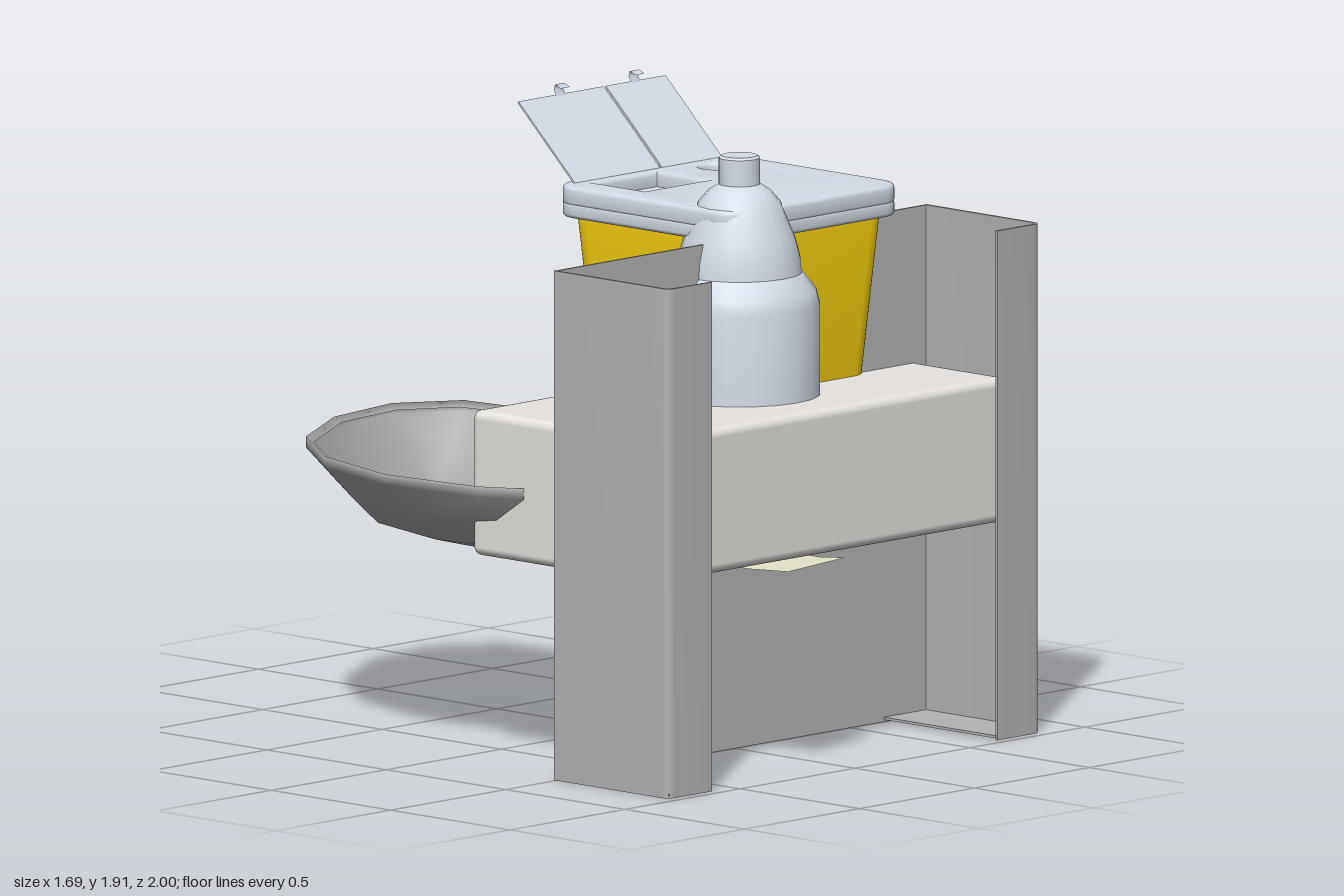
import * as THREE from 'three';
import { toCreasedNormals, mergeVertices } from 'three/addons/utils/BufferGeometryUtils.js';
import { RoundedBoxGeometry } from 'three/addons/geometries/RoundedBoxGeometry.js';

const mat = (color, side = THREE.FrontSide) => new THREE.MeshStandardMaterial({ color, side });
const D = THREE.DoubleSide;
const metal = mat(0xb4b4b4, D), offWhite = mat(0xe6e3df), yellow = mat(0xf2cc0c);
const paleBlue = mat(0xd3dbe6, D), cream = mat(0xe6e4cb, D), grey = mat(0xa8a8a8, D), blue = mat(0x3a9ad9);

function add(parent, name, geometry, material, x = 0, y = 0, z = 0) {
  const m = new THREE.Mesh(geometry, material);
  m.name = name;
  m.position.set(x, y, z);
  parent.add(m);
  return m;
}

// Rounded rectangle centred on the origin
function roundedRect(w, h, r) {
  const s = new THREE.Shape(), a = w / 2, b = h / 2;
  s.absarc(a - r, b - r, r, 0, Math.PI / 2);
  s.absarc(-a + r, b - r, r, Math.PI / 2, Math.PI);
  s.absarc(-a + r, -b + r, r, Math.PI, Math.PI * 1.5);
  s.absarc(a - r, -b + r, r, Math.PI * 1.5, Math.PI * 2);
  s.closePath();
  return s;
}

// Extrude a plan shape upwards (shape y becomes -z)
function extrudeUp(shape, height, bevel = 0, steps = 1) {
  const g = new THREE.ExtrudeGeometry(shape, {
    depth: height - 2 * bevel, steps, curveSegments: 6,
    bevelEnabled: bevel > 0, bevelSize: bevel, bevelThickness: bevel, bevelOffset: -bevel, bevelSegments: 3
  });
  return g.translate(0, 0, bevel).rotateX(-Math.PI / 2);
}

// Grid surface from equal rows of points
function surface(rows, closed) {
  const n = rows[0].length, idx = [];
  for (let i = 0; i < rows.length - 1; i++) {
    for (let j = 0; j < (closed ? n : n - 1); j++) {
      const a = i * n + j, b = i * n + (j + 1) % n;
      idx.push(a, b, a + n, b, b + n, a + n);
    }
  }
  const g = new THREE.BufferGeometry();
  g.setAttribute('position', new THREE.Float32BufferAttribute(rows.flat(2), 3));
  g.setIndex(idx);
  g.computeVertexNormals();
  return g;
}

// Sheet-metal stand: back wall with a C-shaped channel on each side
function makeStand() {
  const g = new THREE.Group(), H = 1.56, T = 0.008;
  g.name = 'stand';
  add(g, 'backWall', new THREE.BoxGeometry(1.6, H, T), metal, 0.03, H / 2, 0.494);
  for (const s of [-1, 1]) {
    const r = 0.03, p = new THREE.Shape(), x = (v) => 0.03 + s * v;
    // channel outline, wall to front lip with a rounded corner
    p.moveTo(x(0.80), -0.49);
    p.lineTo(x(0.81), -0.49);
    p.lineTo(x(0.81), -0.97 + r);
    p.quadraticCurveTo(x(0.81), -0.97, x(0.81 - r), -0.97);
    p.lineTo(x(0.62), -0.97);
    p.lineTo(x(0.62), -0.97 + T);
    p.lineTo(x(0.80 - r), -0.97 + T);
    p.quadraticCurveTo(x(0.80), -0.97 + T, x(0.80), -0.97 + r);
    p.closePath();
    add(g, s < 0 ? 'rightChannel' : 'leftChannel', toCreasedNormals(extrudeUp(p, H), 0.6), metal);
    add(g, 'channelFloor', new THREE.BoxGeometry(0.185, T, 0.47), metal, x(0.71), 0.01, 0.73);
  }
  return g;
}

// Tapered bin with recessed lid and two raised flaps
function makeBin() {
  const g = new THREE.Group();
  g.name = 'bin';
  g.position.set(0.27, 0, 0.21);
  const body = extrudeUp(roundedRect(0.7, 0.7, 0.09), 0.96, 0.02);
  const p = body.attributes.position;
  for (let i = 0; i < p.count; i++) {
    const t = 1 - p.getY(i) / 0.96;
    p.setX(i, p.getX(i) * (1 - 0.3 * t));
    p.setZ(i, p.getZ(i) * (1 - 0.17 * t));
  }
  add(g, 'binBody', toCreasedNormals(body, 0.7), yellow, 0, 0.63, 0);

  add(g, 'lidRim', toCreasedNormals(extrudeUp(roundedRect(0.76, 0.76, 0.09), 0.05, 0.012), 0.7), paleBlue, 0, 1.565, 0);
  const top = roundedRect(0.76, 0.76, 0.09);
  const slot = new THREE.Path([[-0.27, 0.09], [0, 0.09], [0, 0.30], [-0.27, 0.30]].map((q) => new THREE.Vector2(...q)));
  const hole = new THREE.Path();
  hole.absarc(0.2, 0.23, 0.062, 0, Math.PI * 2, true);
  top.holes.push(slot, hole);
  add(g, 'lidTop', toCreasedNormals(extrudeUp(top, 0.062, 0.014), 0.7), paleBlue, 0, 1.6, 0);

  // flaps lean back from the rear edge, each with a curled catch
  for (const [x, w, hx] of [[-0.135, 0.37, -0.14], [0.19, 0.26, 0.185]]) {
    const flap = add(g, 'flap', new THREE.BoxGeometry(w, 0.325, 0.006), paleBlue, x, 1.77, -0.455);
    flap.rotation.x = -0.82;
    const curl = [[1.875, -0.565], [1.9, -0.578], [1.915, -0.572], [1.905, -0.55]];
    add(g, 'flapCatch', surface([-0.02, 0.02].map((d) => curl.map(([y, z]) => [hx + d, y, z]))), paleBlue);
  }
  return g;
}

// Kidney-shaped dish: outline pairs (outer x,z, inner x,z) along its length
function makeDish() {
  const pairs = [
    [0.06, -1, 0.25, -0.88], [-0.23, -0.96, 0.28, -0.65], [-0.54, -0.78, 0.15, -0.38],
    [-0.75, -0.5, 0.02, -0.1], [-0.85, -0.15, -0.06, 0.12], [-0.81, 0.2, -0.15, 0.3], [-0.7, 0.4, -0.3, 0.42]
  ];
  const mid = pairs.map(([a, b, c, d]) => [(a + c) / 2, (b + d) / 2]);
  const centre = (i) => mid[Math.min(5, Math.max(1, i))];
  const loop = [
    ...pairs.map((q, i) => [q[0], q[1], centre(i)]),
    ...pairs.map((q, i) => [q[2], q[3], centre(i)]).reverse()
  ];
  // [inset from rim, height]
  const rings = [[0.025, 0.85], [0, 0.868], [0, 0.835], [0.09, 0.735], [0.17, 0.655], [0.29, 0.625], [9, 0.62]];
  const rows = rings.map(([inset, y]) => loop.map(([x, z, c]) => {
    const t = Math.min(1, inset / Math.hypot(c[0] - x, c[1] - z));
    return [x + (c[0] - x) * t, y, z + (c[1] - z) * t];
  }));
  return surface(rows, true);
}

export function createModel() {
  const model = new THREE.Group();
  model.name = 'disposalStation';
  model.add(makeStand(), makeBin());

  add(model, 'box', new RoundedBoxGeometry(1.54, 0.445, 0.765, 3, 0.028), offWhite, 0.03, 0.86, 0.485);
  add(model, 'dish', makeDish(), grey);

  // Bottle with stepped shoulder and cap
  const profile = [
    [0, 1.08], [0.245, 1.08], [0.245, 1.36], [0.235, 1.4], [0.2, 1.445], [0.19, 1.455], [0.186, 1.5],
    [0.17, 1.56], [0.145, 1.62], [0.125, 1.67], [0.095, 1.705], [0.063, 1.725], [0.063, 1.805], [0.055, 1.812], [0, 1.812]
  ].map((q) => new THREE.Vector2(...q));
  const bottle = new THREE.LatheGeometry(profile, 20);
  bottle.deleteAttribute('uv');
  bottle.deleteAttribute('normal');
  add(model, 'bottle', toCreasedNormals(mergeVertices(bottle), 0.55), paleBlue, 0.03, 0, 0.487);
  add(model, 'bottleTab', new RoundedBoxGeometry(0.03, 0.03, 0.05, 2, 0.01), blue, -0.12, 1.46, 0.35);

  // Paper roll with a loose strip hanging behind the box
  add(model, 'paperRoll', new THREE.CylinderGeometry(0.2, 0.2, 0.2, 24), cream, 0.0, 1.18, 0.32);
  const edges = [
    [[-0.12, 1.27, 0.12], [-0.22, 1.18, 0.08], [-0.3, 1.0, 0.05], [-0.38, 0.8, 0.03], [-0.47, 0.64, 0]],
    [[-0.15, 1.12, 0.2], [-0.27, 1.1, 0.16], [-0.33, 1.0, 0.095], [-0.39, 0.8, 0.085], [-0.45, 0.64, 0.09]]
  ].map((e) => new THREE.CatmullRomCurve3(e.map((q) => new THREE.Vector3(...q))).getPoints(16).map((v) => v.toArray()));
  add(model, 'paperStrip', surface(edges), cream);
  // Loose sheet lying under the front of the box
  add(model, 'paperSheet', surface([
    [[-0.32, 0.633, 0.75], [-0.31, 0.632, 0.86], [-0.29, 0.638, 1.0]],
    [[-0.02, 0.633, 0.75], [-0.01, 0.632, 0.86], [0.01, 0.638, 0.95]]
  ]), cream);
  return model;
}
